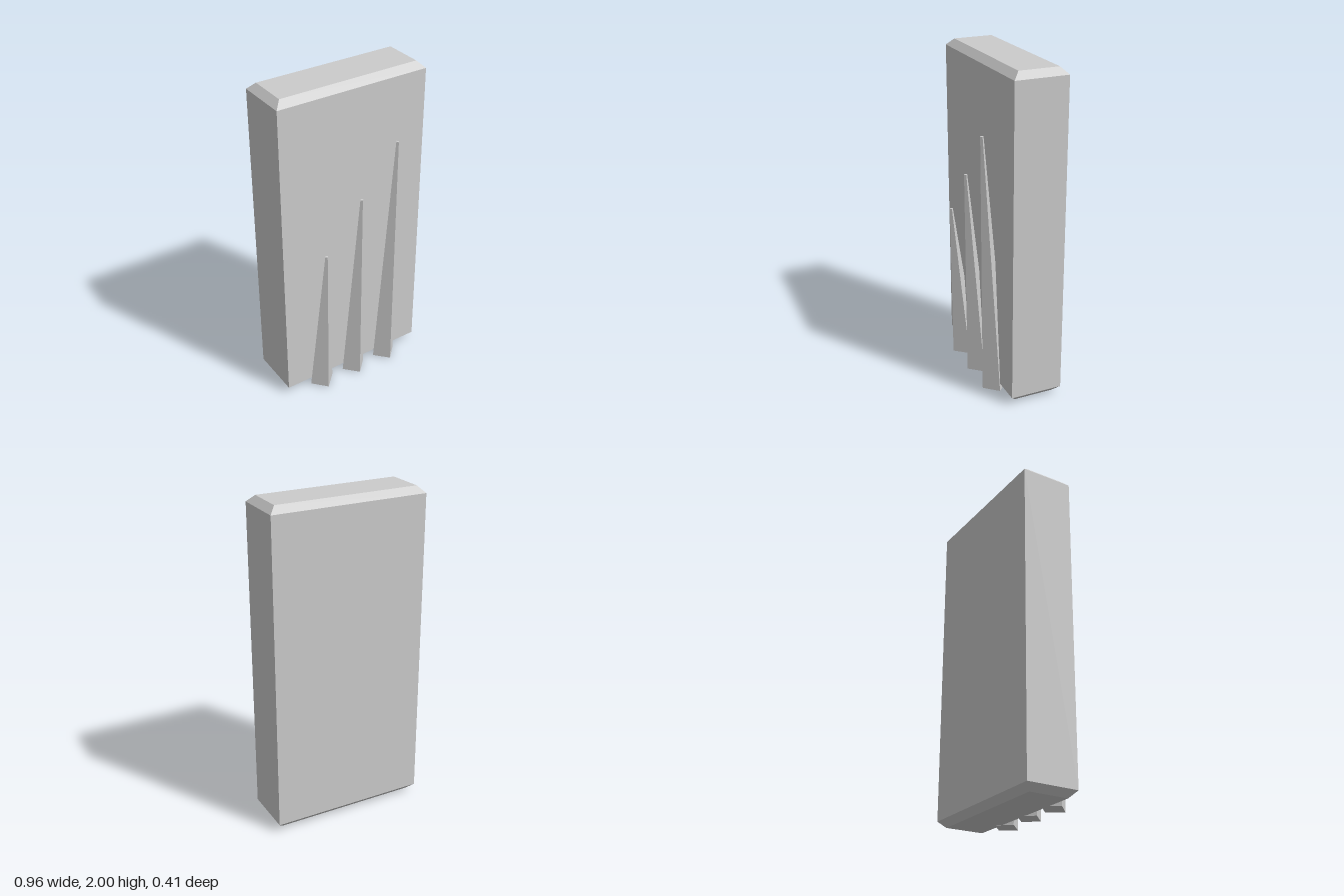
import * as THREE from 'three';

const material = new THREE.MeshStandardMaterial({ color: 0xcccccc, flatShading: true });

// Upright slab: rectangle extruded upward, chamfered only around its top and bottom
function createSlab(width, depth, bottom, top, chamfer) {
  const w = width / 2 - chamfer, d = depth / 2 - chamfer;
  const outline = new THREE.Shape([
    new THREE.Vector2(-w, -d), new THREE.Vector2(w, -d),
    new THREE.Vector2(w, d), new THREE.Vector2(-w, d),
  ]);
  const geometry = new THREE.ExtrudeGeometry(outline, {
    depth: top - bottom - 2 * chamfer,
    bevelEnabled: true, bevelSegments: 1, bevelSize: chamfer, bevelThickness: chamfer,
  });
  geometry.rotateX(-Math.PI / 2);
  geometry.translate(0, bottom + chamfer, 0);
  const slab = new THREE.Mesh(geometry, material);
  slab.name = 'slab';
  return slab;
}

// Four-sided tapered spike, leaning forward so its front edge stays nearly vertical
function createSpike(x, height, name) {
  const lean = 0.075;
  const geometry = new THREE.CylinderGeometry(0.01, 0.08, Math.hypot(height, lean), 4);
  geometry.translate(0, Math.hypot(height, lean) / 2, 0);
  const spike = new THREE.Mesh(geometry, material);
  spike.rotation.x = Math.atan2(lean, height);
  spike.position.set(x, 0.006, 0.12);
  spike.name = name;
  return spike;
}

export function createModel() {
  const model = new THREE.Group();
  model.name = 'spikedSlab';

  const slab = createSlab(0.96, 0.32, 0.01, 2, 0.04);
  slab.position.z = -0.045;
  model.add(slab);

  // Three spikes rising in height towards the model's left
  ['shortSpike', 'middleSpike', 'tallSpike'].forEach((name, i) => {
    model.add(createSpike((i - 1) * 0.24, 1 + 0.3 * i, name));
  });
  return model;
}
